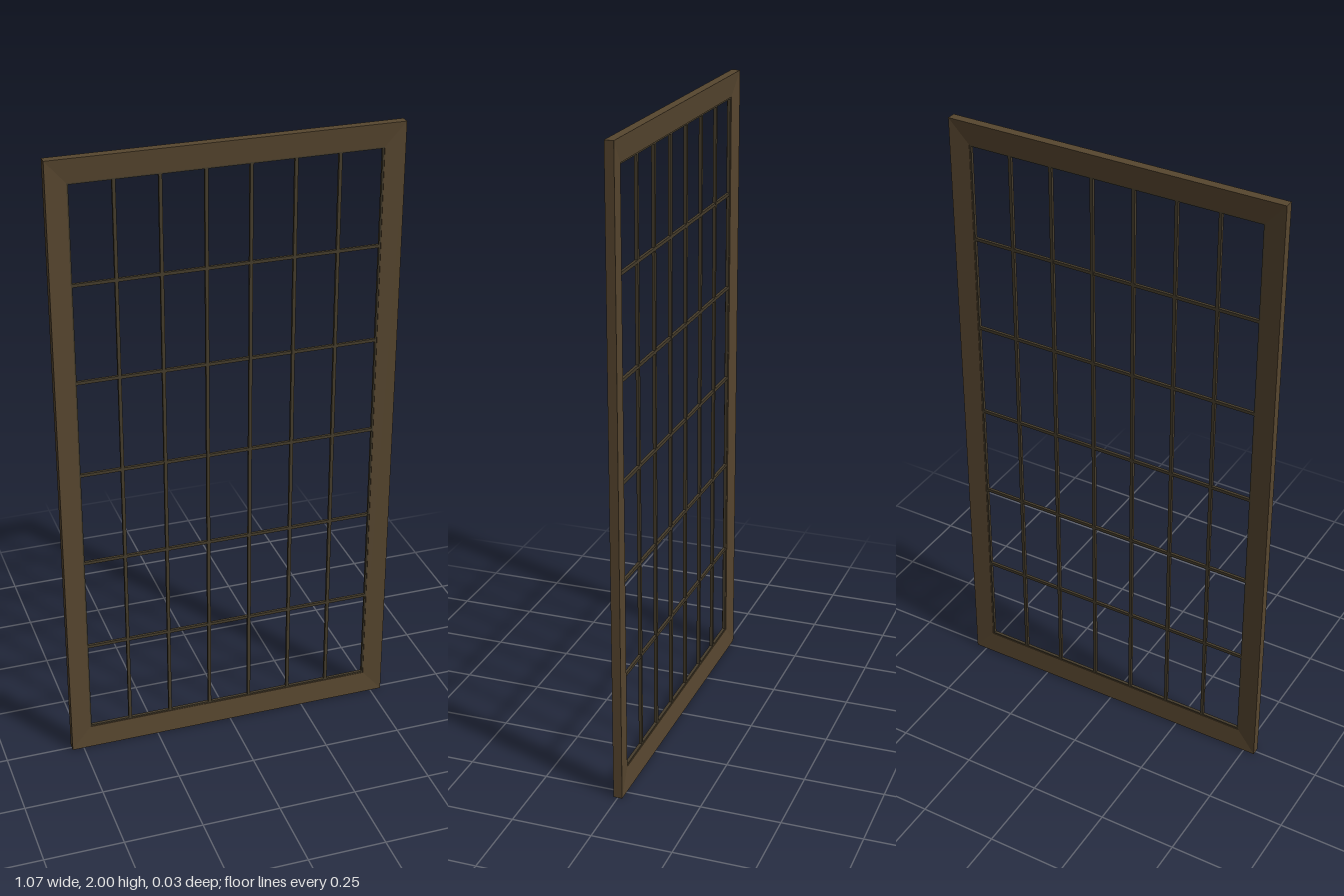
import * as THREE from 'three';

const W = 0.537, IW = 0.474;    // outer and inner half width
const H = 1, IH = 0.927;        // outer and inner half height
const D = 0.014, ID = 0.007;    // half depth at the outer rim and at the opening

// One mitred frame member; its faces slope inward to the opening.
function member(halfLen, innerHalfLen, outer, inner, material) {
  const section = (s) => [
    [s * halfLen, outer, D], [s * innerHalfLen, inner, ID],
    [s * innerHalfLen, inner, -ID], [s * halfLen, outer, -D],
  ];
  const a = section(-1), b = section(1), pos = [];
  for (let i = 0; i < 4; i++) {
    const j = (i + 1) % 4;
    pos.push(...a[i], ...a[j], ...b[j], ...a[i], ...b[j], ...b[i]);
  }
  const geometry = new THREE.BufferGeometry();
  geometry.setAttribute('position', new THREE.Float32BufferAttribute(pos, 3));
  geometry.computeVertexNormals();
  return new THREE.Mesh(geometry, material);
}

export function createModel() {
  const group = new THREE.Group();
  group.name = 'latticeWindow';
  const frameWood = new THREE.MeshStandardMaterial({ color: 0x57462f });
  frameWood.name = 'brown frame';
  const barMetal = new THREE.MeshStandardMaterial({ color: 0x453c2b });
  barMetal.name = 'dark bars';

  // Outer frame: four mitred members turned about the centre
  const names = ['topRail', 'leftStile', 'bottomRail', 'rightStile'];
  names.forEach((name, i) => {
    const m = i % 2 ? member(H, IH, W, IW, frameWood) : member(W, IW, H, IH, frameWood);
    m.name = name;
    m.rotation.z = -i * Math.PI / 2;
    if (i % 2) m.name = i === 1 ? 'leftStile' : 'rightStile';
    m.position.y = 1;
    group.add(m);
  });

  const addBar = (name, w, h, d, x, y) => {
    const bar = new THREE.Mesh(new THREE.BoxGeometry(w, h, d), barMetal);
    bar.name = name;
    bar.position.set(x, y, 0);
    group.add(bar);
  };

  // Thin lip around the opening
  for (const s of [-1, 1]) {
    addBar('sideLip', 0.006, 2 * IH, 0.01, s * (IW - 0.002), 1);
    addBar('railLip', 2 * IW, 0.006, 0.01, 0, 1 + s * (IH - 0.002));
  }

  // Lattice: seven panes across, six panes high
  for (let i = 1; i < 7; i++) {
    addBar('verticalBar', 0.01, 2 * IH, 0.01, -IW + (i * 2 * IW) / 7, 1);
  }
  for (let i = 1; i < 6; i++) {
    addBar('horizontalBar', 2 * IW, 0.01, 0.009, 0, 1 - IH + (i * 2 * IH) / 6);
  }
  return group;
}
